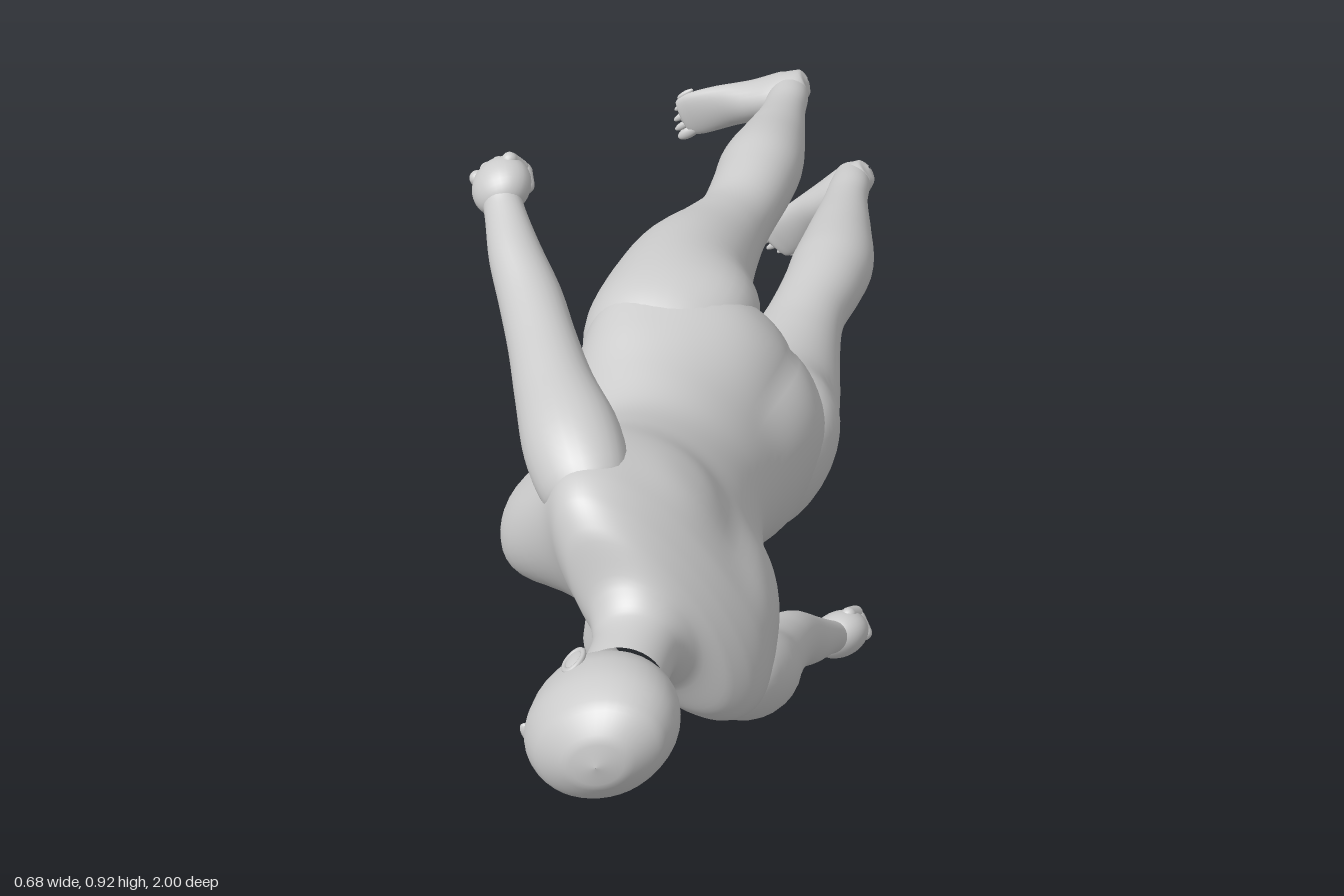
import * as THREE from 'three';

const skin = new THREE.MeshStandardMaterial({ color: 0xcccccc, roughness: 0.8 });

function add(parent, name, geometry) {
  const mesh = new THREE.Mesh(geometry, skin);
  mesh.name = name;
  parent.add(mesh);
  return mesh;
}

// Smooth skin through elliptical sections: [x, y, z, halfWidth, halfDepth].
// Sections are level if asked, otherwise square to the path.
function loft(rows, around = 32, perRow = 5, level = false) {
  const path = new THREE.CatmullRomCurve3(rows.map(r => new THREE.Vector3(r[0], r[1], r[2])));
  const size = new THREE.CatmullRomCurve3(rows.map((r, i) => new THREE.Vector3(r[3], r[4], i * 0.05)));
  const steps = (rows.length - 1) * perRow;
  const positions = [], index = [];
  for (let i = 0; i <= steps; i++) {
    const t = i / steps;
    const p = path.getPoint(t), s = size.getPoint(t);
    const along = level ? new THREE.Vector3(0, -1, 0) : path.getTangent(t);
    const side = new THREE.Vector3(1, 0, 0).addScaledVector(along, -along.x).normalize();
    const front = new THREE.Vector3().crossVectors(along, side);
    for (let j = 0; j < around; j++) {
      const a = (j / around) * Math.PI * 2;
      const v = p.clone()
        .addScaledVector(side, Math.cos(a) * s.x)
        .addScaledVector(front, Math.sin(a) * s.y);
      positions.push(v.x, v.y, v.z);
      if (i < steps) {
        const k = i * around + j, n = i * around + (j + 1) % around;
        index.push(k, n, k + around, n, n + around, k + around);
      }
    }
  }
  const g = new THREE.BufferGeometry();
  g.setAttribute('position', new THREE.Float32BufferAttribute(positions, 3));
  g.setIndex(index);
  g.computeVertexNormals();
  return g;
}

// Mirrored soft swellings: [x, y, radius, amount]; positive goes forward, negative back
const SWELLS = [
  [0.135, 0.46, 0.105, 0.108],  // breasts
  [0.075, 0.0, 0.125, -0.036],  // buttocks
  [0.11, 0.5, 0.08, -0.014],    // shoulder blades
];
function swell(g) {
  const p = g.attributes.position;
  for (let i = 0; i < p.count; i++) {
    const x = Math.abs(p.getX(i)), y = p.getY(i), z = p.getZ(i);
    let move = 0;
    for (const [cx, cy, radius, amount] of SWELLS) {
      const facing = THREE.MathUtils.smoothstep((z + 0.08) * Math.sign(amount), 0, 0.07);
      move += amount * facing * Math.exp(-Math.pow(Math.hypot(x - cx, y - cy) / radius, 3));
    }
    p.setZ(i, z + move);
  }
  g.computeVertexNormals();
  return g;
}

function ellipsoid(parent, name, x, y, z, rx, ry, rz) {
  const mesh = add(parent, name, new THREE.SphereGeometry(1, 28, 20));
  mesh.position.set(x, y, z);
  mesh.scale.set(rx, ry, rz);
  return mesh;
}

const TORSO = [
  [0, 0.80, -0.07, 0.06, 0.066], [0, 0.73, -0.08, 0.062, 0.064], [0, 0.695, -0.088, 0.098, 0.07],
  [0, 0.67, -0.092, 0.172, 0.082], [0, 0.64, -0.094, 0.215, 0.096], [0, 0.6, -0.094, 0.236, 0.111],
  [0, 0.54, -0.086, 0.24, 0.125], [0, 0.45, -0.074, 0.222, 0.13], [0, 0.36, -0.052, 0.194, 0.137],
  [0, 0.27, -0.036, 0.178, 0.145], [0, 0.18, -0.032, 0.2, 0.157], [0, 0.09, -0.042, 0.232, 0.157],
  [0, 0.02, -0.053, 0.245, 0.152], [0, -0.03, -0.06, 0.22, 0.138], [0, -0.07, -0.065, 0.13, 0.1],
  [0, -0.085, -0.065, 0.01, 0.01],
];
const HEAD = [
  [0, 0.999, -0.075, 0.0005, 0.0005], [0, 0.991, -0.075, 0.038, 0.048], [0, 0.96, -0.07, 0.074, 0.097],
  [0, 0.91, -0.062, 0.09, 0.118], [0, 0.86, -0.056, 0.088, 0.114], [0, 0.82, -0.046, 0.076, 0.1],
  [0, 0.79, -0.032, 0.06, 0.081], [0, 0.768, -0.02, 0.04, 0.06], [0, 0.755, -0.016, 0.002, 0.002],
];
const LEG = [
  [0.12, 0.1, -0.045, 0.08, 0.1], [0.13, 0.02, -0.052, 0.12, 0.122], [0.135, -0.06, -0.066, 0.122, 0.13],
  [0.135, -0.2, -0.08, 0.108, 0.111], [0.122, -0.33, -0.1, 0.08, 0.088], [0.113, -0.42, -0.12, 0.066, 0.074],
  [0.115, -0.52, -0.14, 0.069, 0.077], [0.117, -0.6, -0.147, 0.071, 0.079], [0.112, -0.72, -0.148, 0.056, 0.063],
  [0.108, -0.84, -0.146, 0.039, 0.047], [0.108, -0.91, -0.147, 0.036, 0.042], [0.11, -0.96, -0.145, 0.034, 0.036],
];
const FOOT = [
  [0.108, -0.958, -0.188, 0.004, 0.004], [0.109, -0.957, -0.181, 0.024, 0.03], [0.113, -0.946, -0.145, 0.037, 0.05],
  [0.125, -0.955, -0.08, 0.039, 0.042], [0.142, -0.972, -0.01, 0.044, 0.025], [0.154, -0.982, 0.05, 0.045, 0.014],
  [0.158, -0.985, 0.078, 0.036, 0.009], [0.159, -0.985, 0.084, 0.006, 0.003],
];
const ARM = [
  [0.16, 0.6, -0.09, 0.02, 0.03], [0.19, 0.565, -0.09, 0.056, 0.068], [0.235, 0.495, -0.08, 0.068, 0.076],
  [0.284, 0.39, -0.055, 0.057, 0.063], [0.325, 0.29, -0.035, 0.05, 0.055], [0.365, 0.2, -0.018, 0.049, 0.051],
  [0.42, 0.12, -0.005, 0.041, 0.043], [0.468, 0.05, 0, 0.029, 0.034], [0.49, 0.02, 0, 0.028, 0.033],
];
const mirror = (rows, s) => rows.map(r => [r[0] * s, ...r.slice(1)]);

// Closed fist: palm, four curled fingers and a thumb
function fist(s) {
  const hand = new THREE.Group();
  ellipsoid(hand, 'palm', 0, -0.004, -0.002, 0.04, 0.05, 0.052);
  for (let i = 0; i < 4; i++) {
    const finger = add(hand, 'finger', new THREE.CapsuleGeometry(0.0135, 0.03, 5, 12));
    finger.position.set(-s * 0.023, -0.02 + Math.abs(i - 1.3) * 0.003, 0.032 - i * 0.022);
    const knuckle = add(hand, 'knuckle', new THREE.CapsuleGeometry(0.0135, 0.028, 5, 12));
    knuckle.position.set(0, -0.038 + Math.abs(i - 1.3) * 0.004, 0.032 - i * 0.022);
    knuckle.rotation.z = Math.PI / 2;
  }
  const thumb = add(hand, 'thumb', new THREE.CapsuleGeometry(0.0135, 0.036, 5, 12));
  thumb.position.set(-s * 0.02, -0.004, 0.04);
  thumb.rotation.z = s * 0.4;
  hand.position.set(s * 0.493, 0.01, 0);
  hand.rotation.z = s * 0.55;
  return hand;
}

export function createModel() {
  const model = new THREE.Group();
  model.name = 'lyingFigure';
  // The body is built upright, facing +z, and then laid along z and rolled
  const body = new THREE.Group();
  body.name = 'body';
  model.add(body);

  add(body, 'torso', swell(loft(TORSO, 80, 6, true)));
  add(body, 'head', loft(HEAD, 40, 6, true));

  // Face
  add(body, 'nose', loft([
    [0, 0.89, 0.048, 0.005, 0.005], [0, 0.868, 0.057, 0.01, 0.011],
    [0, 0.848, 0.063, 0.015, 0.015], [0, 0.836, 0.056, 0.004, 0.004],
  ], 16, 5, true));
  ellipsoid(body, 'upperLip', 0, 0.817, 0.05, 0.02, 0.006, 0.009);
  ellipsoid(body, 'lowerLip', 0, 0.807, 0.048, 0.018, 0.006, 0.009);
  ellipsoid(body, 'chin', 0, 0.78, 0.034, 0.024, 0.016, 0.016);

  for (const s of [1, -1]) {
    const side = s > 0 ? 'left' : 'right';
    ellipsoid(body, side + 'Brow', s * 0.032, 0.893, 0.04, 0.024, 0.007, 0.012);
    ellipsoid(body, side + 'Eye', s * 0.032, 0.872, 0.04, 0.014, 0.007, 0.012);

    // Ear: shell with a raised rim
    ellipsoid(body, side + 'Ear', s * 0.084, 0.846, -0.062, 0.008, 0.026, 0.016);
    const rim = add(body, side + 'EarRim', new THREE.TorusGeometry(0.016, 0.004, 8, 24));
    rim.position.set(s * 0.088, 0.85, -0.064);
    rim.rotation.y = Math.PI / 2;
    rim.scale.y = 1.4;

    add(body, side + 'Arm', loft(mirror(ARM, s), 28));
    const hand = fist(s);
    hand.name = side + 'Hand';
    body.add(hand);

    add(body, side + 'Leg', swell(loft(mirror(LEG, s), 40)));
    add(body, side + 'Foot', loft(mirror(FOOT, s), 28));
    // Toes shrink from the big inner one outward
    for (let i = 0; i < 5; i++) {
      const r = i ? 0.0085 - i * 0.0006 : 0.012;
      ellipsoid(body, side + 'Toe', s * (0.128 + i * 0.0175), -0.986, 0.085 - i * i * 0.0024, r, r * 0.85, 0.027 - i * 0.002);
    }
  }

  const roll = 0.613; // angle of the facing direction below the -x axis
  const c = Math.cos(roll), d = Math.sin(roll);
  body.quaternion.setFromRotationMatrix(new THREE.Matrix4().makeBasis(
    new THREE.Vector3(d, -c, 0), new THREE.Vector3(0, 0, 1), new THREE.Vector3(-c, -d, 0)));
  body.position.set(0, 0.46, 0);
  return model;
}
